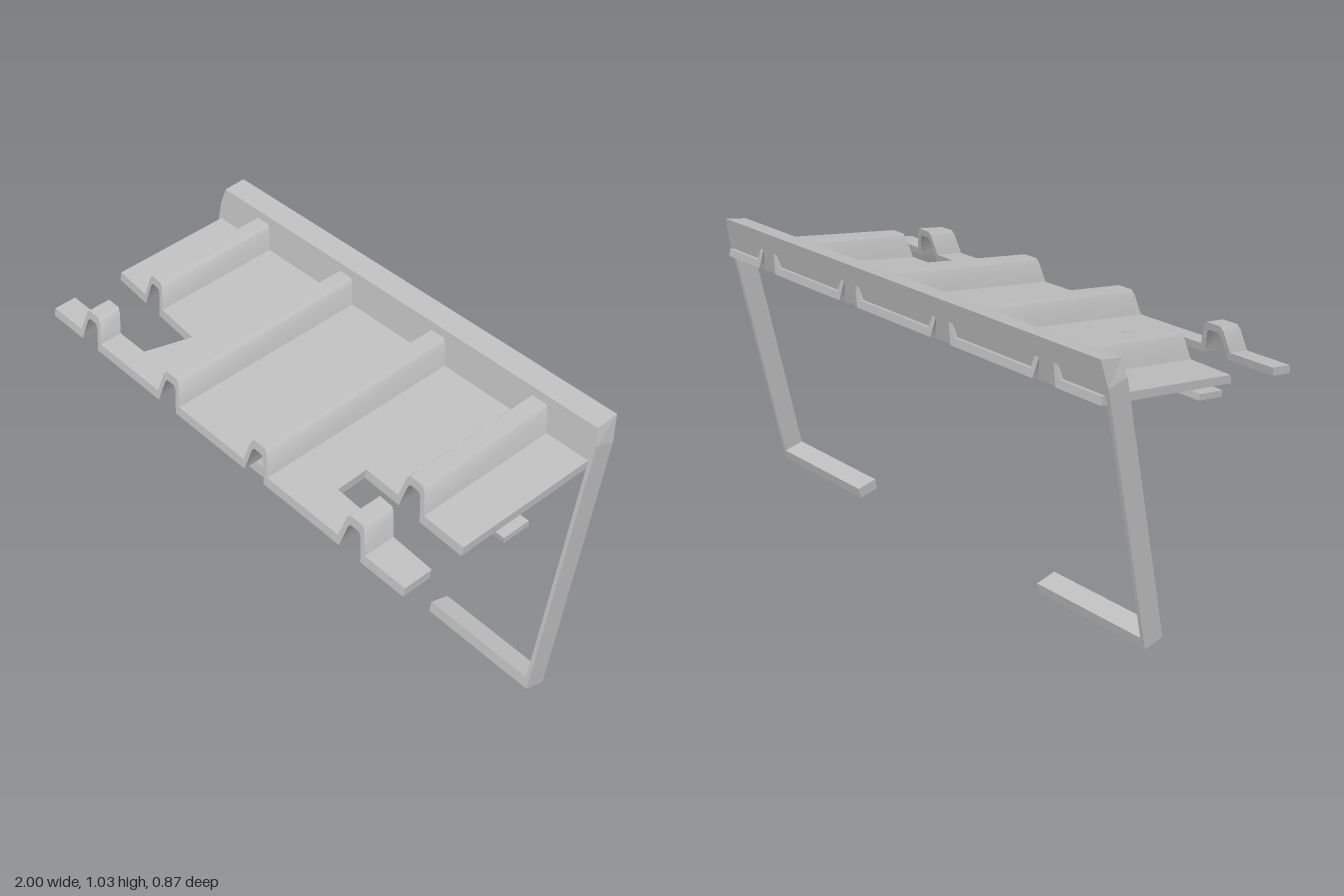
import * as THREE from 'three';
import { toCreasedNormals } from 'three/addons/utils/BufferGeometryUtils.js';

const LEAN = THREE.MathUtils.degToRad(12);  // backward lean of the frame
const SLOPE = 0.14;                         // fall of the sheet towards the front
const FRONT = 0.43;

// Cross-section of the ribbed sheet: [x top, height top, x bottom, height bottom]
const T = -0.03;
const rib = [[0.0625, 0, 0.05, T], [0.042, 0.075, 0.03, 0.05], [0.03, 0.09, 0.02, 0.062]];
const profile = [-0.965, -0.515, -0.455, 0.5, 0.505, 0.965].map((x) => [x, 0, x, T]);
for (const c of [-0.725, -0.245, 0.24, 0.72]) {
  for (const [xt, ht, xb, hb] of rib) {
    for (const s of [-1, 1]) profile.push([c + s * xt, ht, c + s * xb, hb]);
  }
}
profile.sort((a, b) => a[0] - b[0]);

// Height follows the frame's lean, depth follows the roof slope
const place = (x, h, d) => [x, 0.85 - SLOPE * d + h * Math.cos(LEAN), d - h * Math.sin(LEAN)];

// One piece of sheet between two x limits, with rules for its back and front edges
function sheetPiece(x0, x1, back, front, capLeft, capRight) {
  const rings = profile.filter((p) => p[0] >= x0 && p[0] <= x1).map(([xt, ht, xb, hb]) => [
    place(xt, ht, back(xt, ht)), place(xt, ht, front(xt)),
    place(xb, hb, front(xb)), place(xb, hb, back(xb, hb)),
  ]);
  const pos = [];
  const quad = (a, b, c, d) => pos.push(...a, ...b, ...c, ...a, ...c, ...d);
  for (let i = 0; i < rings.length - 1; i++) {
    const a = rings[i], b = rings[i + 1];
    for (let k = 0; k < 4; k++) {
      const n = (k + 1) % 4;
      quad(a[k], a[n], b[n], b[k]);
    }
  }
  if (capLeft) quad(...[...rings[0]].reverse());
  if (capRight) quad(...rings[rings.length - 1]);
  const g = new THREE.BufferGeometry();
  g.setAttribute('position', new THREE.Float32BufferAttribute(pos, 3));
  return toCreasedNormals(g, 0.8);
}

export function createModel() {
  const model = new THREE.Group();
  model.name = 'ribbedRack';
  const grey = new THREE.MeshStandardMaterial({ color: 0xbfbfbf });
  grey.name = 'grey';
  const add = (name, geometry, parent = model) => {
    const mesh = new THREE.Mesh(geometry, grey);
    mesh.name = name;
    parent.add(mesh);
    return mesh;
  };

  // Frame: top beam, two thin legs and two inward feet
  const half = [[0.49, 0], [0.98, 0], [0.98, 0.955], [0.965, 1.016]];
  const inner = [[0.965, 0.89], [0.965, 0.04], [0.49, 0.04]];
  const flip = (pts) => pts.map(([x, y]) => [-x, y]).reverse();
  const outline = [...half, ...flip(half), ...flip(inner), ...inner];
  const shape = new THREE.Shape(outline.map(([x, y]) => new THREE.Vector2(x, y)));
  const frameGeo = new THREE.ExtrudeGeometry(shape, { depth: 0.08, bevelEnabled: false });
  // Slant the top of the beam so its back edge is higher
  const p = frameGeo.attributes.position;
  for (let i = 0; i < p.count; i++) {
    if (p.getY(i) > 1 && p.getZ(i) < 0.01) p.setY(i, p.getY(i) + 0.032);
  }
  frameGeo.computeVertexNormals();
  const frame = add('frame', frameGeo);
  frame.rotation.x = -LEAN;
  frame.position.z = -0.215;

  // Ribbed sheet with an open notch at each side
  const sheet = new THREE.Group();
  sheet.name = 'ribbedSheet';
  model.add(sheet);
  const rear = (x, h) => -0.423 + 0.33 * h;
  const front = () => FRONT;
  const lerp = (x, xa, a, xb, b) => a + (b - a) * (x - xa) / (xb - xa);
  const rightCut = (x) => lerp(x, -0.965, 0.14, -0.455, 0.18);
  const leftCut = (x) => lerp(x, 0.5, 0.185, 0.965, 0.2);
  const rightTab = (x) => (x <= -0.515 ? 0.345 : lerp(x, -0.515, 0.345, -0.455, 0.18));
  const leftTab = (x) => (x < 0.505 ? lerp(x, 0.5, 0.185, 0.505, 0.305) : lerp(x, 0.505, 0.305, 0.965, 0.325));
  add('sheetCentre', sheetPiece(-0.455, 0.5, rear, front, false, false), sheet);
  add('sheetRightRear', sheetPiece(-0.965, -0.455, rear, rightCut, true, false), sheet);
  add('sheetRightTab', sheetPiece(-0.965, -0.455, rightTab, front, true, false), sheet);
  add('sheetLeftRear', sheetPiece(0.5, 0.965, rear, leftCut, false, true), sheet);
  add('sheetLeftTab', sheetPiece(0.5, 0.965, leftTab, front, false, true), sheet);

  // Flat bar running under the sheet
  const bar = add('crossBar', new THREE.BoxGeometry(2, 0.021, 0.104));
  bar.rotation.x = Math.atan(SLOPE);
  bar.position.set(0, 0.807, 0.012);

  return model;
}
